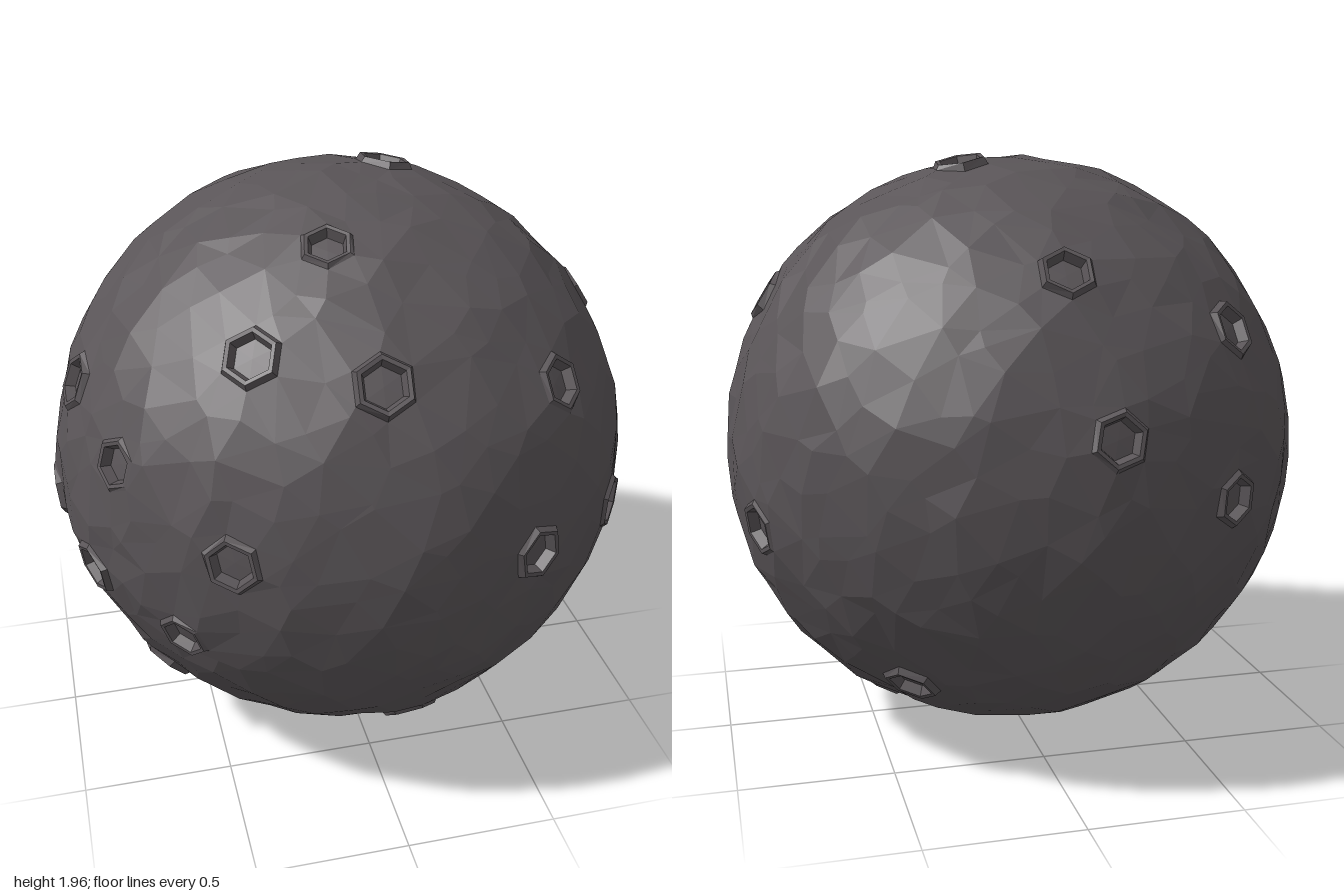
import * as THREE from 'three';
import { ConvexGeometry } from 'three/addons/geometries/ConvexGeometry.js';

const RADIUS = 0.968;
const RING = 0.1; // crater foot radius

// Crater directions from the centre of the ball
const CRATERS = [
  [-0.13, 0.885, 0.417], [-0.41, 0.646, 0.63], [-0.05, 0.588, 0.79], [0.55, 0.476, 0.675],
  [-0.81, 0.263, 0.49], [-0.51, 0.07, 0.82], [0.43, 0.0, 0.88], [0.8, -0.045, 0.58],
  [-0.9, -0.19, 0.35], [-0.66, -0.285, 0.67], [-0.67, -0.66, 0.26], [0.115, -0.77, 0.6],
  [-0.045, -0.98, 0], [0.83, 0.52, 0.07], [0.9, -0.184, -0.34], [0.45, -0.67, -0.545],
  [0.48, -0.85, -0.08], [0.19, 0.96, -0.11], [0, 0.64, -0.73], [-0.55, 0.45, -0.67],
  [-0.89, 0.38, 0.125], [-0.1, 0.18, -0.95], [-0.51, -0.05, -0.82], [-0.96, -0.11, -0.05],
];

function seeded(seed) {
  return () => {
    seed = (seed * 16807) % 2147483647;
    return seed / 2147483647;
  };
}

// Uneven ground height for a direction
function ground(d) {
  const broad = Math.sin(4.1 * d.x + 1.3) * Math.sin(3.7 * d.y + 0.4) * Math.sin(4.5 * d.z + 2.1);
  const fine = Math.sin(23 * d.x + 9 * d.y) * Math.sin(27 * d.y - 8 * d.z + 1) + Math.sin(25 * d.z + 11 * d.x + 2);
  return RADIUS + 0.008 * broad + 0.005 * fine;
}

// Six directions around a crater centre
function hexagon(centre, radius, turn) {
  const pole = Math.abs(centre.y) > 0.95 ? new THREE.Vector3(0, 0, -1) : new THREE.Vector3(0, 1, 0);
  const side = new THREE.Vector3().crossVectors(pole, centre).normalize();
  const up = new THREE.Vector3().crossVectors(centre, side);
  return Array.from({ length: 6 }, (_, i) => {
    const a = turn + Math.PI / 2 + (i * Math.PI) / 3;
    return centre.clone()
      .addScaledVector(side, Math.cos(a) * radius)
      .addScaledVector(up, Math.sin(a) * radius)
      .normalize();
  });
}

function facets(points) {
  const geometry = new THREE.BufferGeometry().setFromPoints(points);
  geometry.computeVertexNormals();
  return geometry;
}

// Faceted ball with a hexagonal opening at each crater
function ballGeometry(craters, random) {
  const points = craters.flatMap((c) => c.foot);
  const count = 800;
  for (let i = 0; i < count; i++) {
    const y = 1 - (2 * (i + 0.5)) / count;
    const r = Math.sqrt(1 - y * y);
    const a = i * Math.PI * (3 - Math.sqrt(5));
    const p = new THREE.Vector3(r * Math.cos(a), y, r * Math.sin(a));
    p.x += (random() - 0.5) * 0.09;
    p.y += (random() - 0.5) * 0.09;
    p.z += (random() - 0.5) * 0.09;
    p.normalize();
    if (craters.every((c) => c.centre.distanceTo(p) > c.size * 1.3)) points.push(p);
  }
  const hull = new ConvexGeometry(points).getAttribute('position');
  const kept = [];
  for (let i = 0; i < hull.count; i += 3) {
    const face = [0, 1, 2].map((k) => new THREE.Vector3().fromBufferAttribute(hull, i + k));
    const open = craters.some((c) => face.every((p) => c.centre.distanceTo(p) < c.size * 1.05));
    if (!open) kept.push(...face.map((p) => p.multiplyScalar(ground(p))));
  }
  return facets(kept);
}

// Raised rim, sloping inner wall and sunken floor
function craterGeometry({ centre, size, turn, foot }) {
  const base = ground(centre);
  const loop = (scale, lift) => hexagon(centre, size * scale, turn).map((p) => p.multiplyScalar(base + lift));
  const loops = [
    foot.map((p) => p.clone().multiplyScalar(ground(p))),
    loop(0.86, 0.016),
    loop(0.72, 0.013),
    loop(0.62, -0.02),
  ];
  const floor = centre.clone().multiplyScalar(base - 0.02);
  const points = [];
  for (let i = 0; i < 6; i++) {
    const j = (i + 1) % 6;
    for (let k = 0; k < 3; k++) {
      const [a, b] = [loops[k], loops[k + 1]];
      points.push(a[i], a[j], b[j], a[i], b[j], b[i]);
    }
    points.push(loops[3][i], loops[3][j], floor);
  }
  return facets(points);
}

export function createModel() {
  const model = new THREE.Group();
  model.name = 'crateredBall';
  const rock = new THREE.MeshStandardMaterial({ color: 0x5a5558, flatShading: true });
  rock.name = 'dark grey rock';

  const random = seeded(4711);
  const craters = CRATERS.map((c) => {
    const centre = new THREE.Vector3(...c).normalize();
    const size = RING * (0.92 + 0.16 * random());
    const turn = (random() - 0.5) * 0.5;
    return { centre, size, turn, foot: hexagon(centre, size, turn) };
  });

  const ball = new THREE.Mesh(ballGeometry(craters, random), rock);
  ball.name = 'rockyBall';
  model.add(ball);

  craters.forEach((c, i) => {
    const crater = new THREE.Mesh(craterGeometry(c), rock);
    crater.name = `crater${i + 1}`;
    model.add(crater);
  });

  // Lift so the ball stands on the ground
  model.children.forEach((part) => part.geometry.translate(0, 1, 0));
  const low = new THREE.Box3().setFromObject(model).min.y;
  model.children.forEach((part) => part.geometry.translate(0, -low, 0));
  return model;
}
